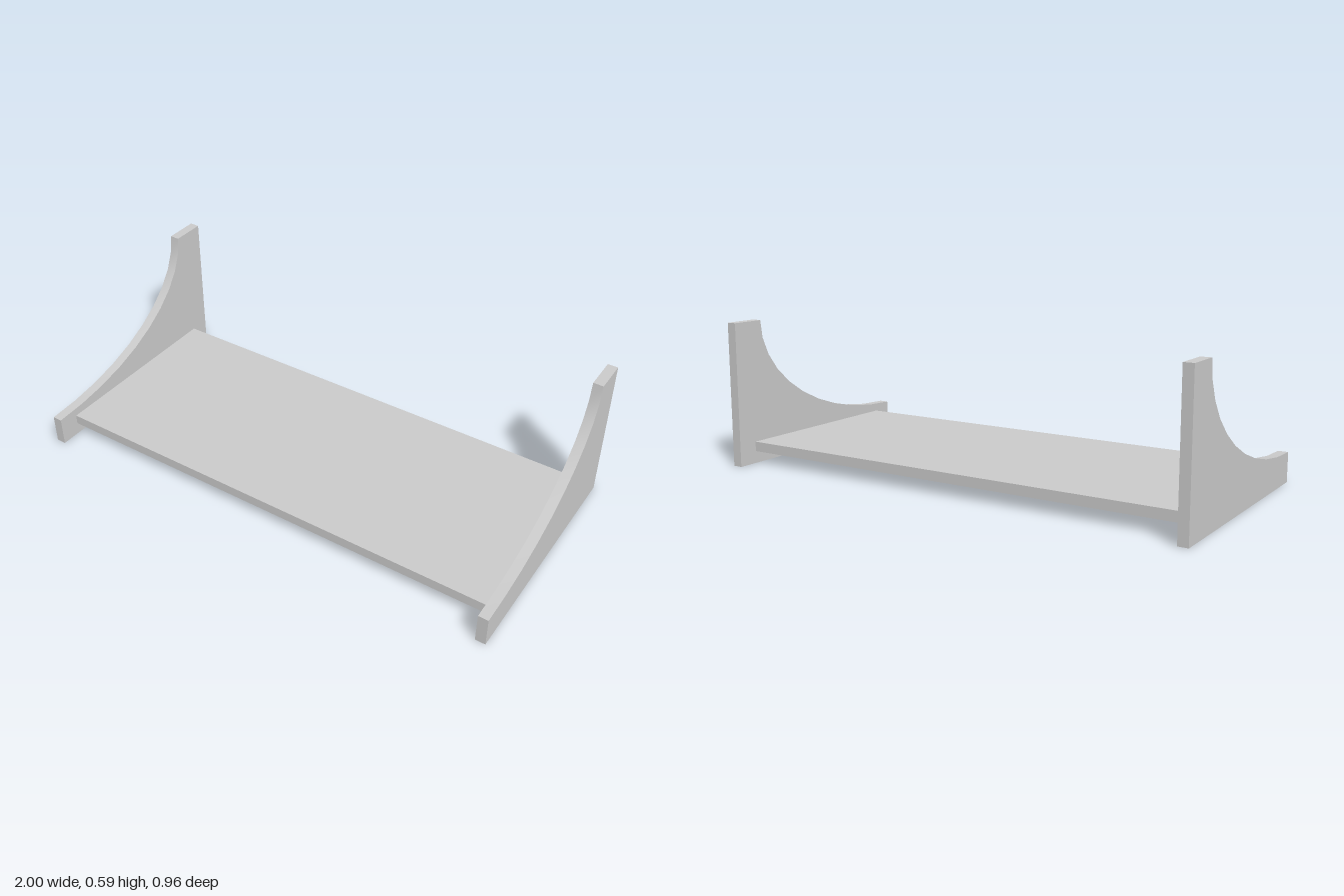
import * as THREE from 'three';
import { toCreasedNormals } from 'three/addons/utils/BufferGeometryUtils.js';

export function createModel() {
  const model = new THREE.Group();
  model.name = 'shelf';
  const material = new THREE.MeshStandardMaterial({ color: 0xcccccc });

  const halfDepth = 0.48, height = 0.59, frontHeight = 0.12;
  const topWidth = 0.14, thickness = 0.04;

  // Side profile: the horizontal axis runs towards the back
  const profile = [
    new THREE.Vector2(-halfDepth, 0),
    new THREE.Vector2(halfDepth, 0),
    new THREE.Vector2(halfDepth, height),
  ];
  // Concave quarter ellipse sweeping from the tall back down to the low front
  const steps = 10;
  const radiusZ = 2 * halfDepth - topWidth, radiusY = height - frontHeight;
  for (let i = steps; i >= 0; i--) {
    const t = (i / steps) * Math.PI / 2;
    profile.push(new THREE.Vector2(-halfDepth + radiusZ * Math.sin(t), height - radiusY * Math.cos(t)));
  }
  const extruded = new THREE.ExtrudeGeometry(new THREE.Shape(profile), { depth: thickness, bevelEnabled: false });
  extruded.rotateY(Math.PI / 2);
  const sideGeometry = toCreasedNormals(extruded, 0.4);

  // Two matching end panels
  for (const [name, x] of [['leftSidePanel', 1 - thickness], ['rightSidePanel', -1]]) {
    const panel = new THREE.Mesh(sideGeometry, material);
    panel.name = name;
    panel.position.x = x;
    model.add(panel);
  }

  // Flat board between the panels
  const board = new THREE.Mesh(new THREE.BoxGeometry(2 - 2 * thickness, 0.04, 0.79), material);
  board.name = 'shelfBoard';
  board.position.y = 0.07;
  model.add(board);

  return model;
}
